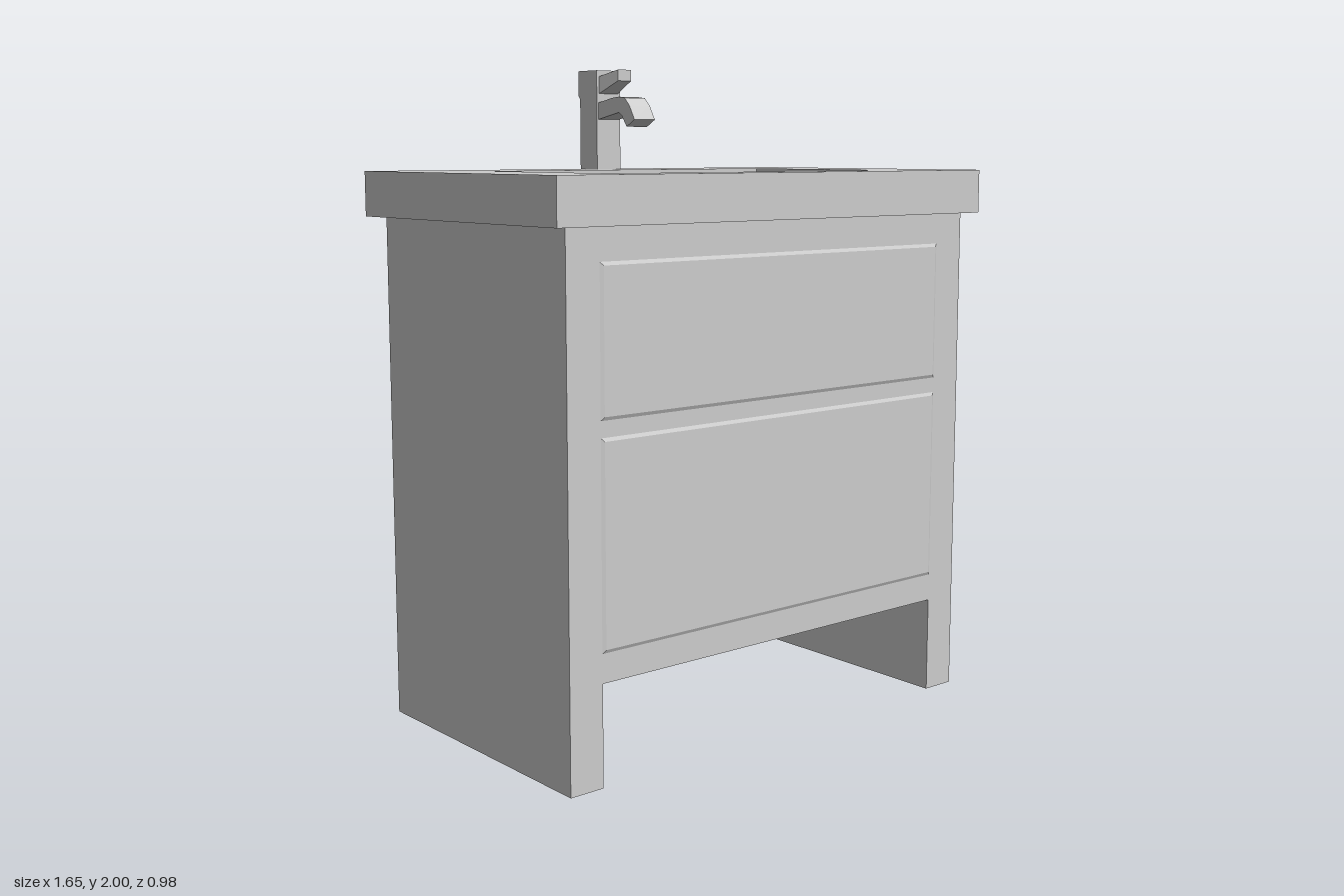
import * as THREE from 'three';

const grey = new THREE.MeshStandardMaterial({ color: 0xcccccc, flatShading: true });

function add(group, name, geometry, x = 0, y = 0, z = 0) {
  const mesh = new THREE.Mesh(geometry, grey);
  mesh.name = name;
  mesh.position.set(x, y, z);
  group.add(mesh);
  return mesh;
}

// Box given by its limits on each axis
function box(group, name, [x0, x1], [y0, y1], [z0, z1]) {
  return add(group, name, new THREE.BoxGeometry(x1 - x0, y1 - y0, z1 - z0),
    (x0 + x1) / 2, (y0 + y1) / 2, (z0 + z1) / 2);
}

const rect = (x0, x1, y0, y1) => [[x0, y0], [x1, y0], [x1, y1], [x0, y1]].map(p => new THREE.Vector2(...p));

// Horizontal rectangular slab with a rectangular opening, rising from y = 0
function ring(outer, inner, height) {
  const shape = new THREE.Shape(rect(...outer));
  shape.holes.push(new THREE.Path(rect(...inner)));
  return new THREE.ExtrudeGeometry(shape, { depth: height, bevelEnabled: false }).rotateX(-Math.PI / 2);
}

// Side profile of [z, y] points, extruded across x and centred
function sideProfile(points, width) {
  const shape = new THREE.Shape(points.map(p => new THREE.Vector2(...p)));
  return new THREE.ExtrudeGeometry(shape, { depth: width, bevelEnabled: false })
    .translate(0, 0, -width / 2).rotateY(-Math.PI / 2);
}

// Shallow raised panel with sloping edges
function drawerPanel(width, height) {
  const edge = 0.01, rise = 0.005;
  const geo = new THREE.BoxGeometry(width, height, rise);
  const p = geo.attributes.position;
  for (let i = 0; i < p.count; i++) {
    if (p.getZ(i) > 0) {
      p.setX(i, p.getX(i) - Math.sign(p.getX(i)) * edge);
      p.setY(i, p.getY(i) - Math.sign(p.getY(i)) * edge);
    }
  }
  geo.computeVertexNormals();
  return geo.translate(0, 0, rise / 2);
}

export function createModel() {
  const model = new THREE.Group();
  model.name = 'vanity';

  // Cabinet: side panels run down to the floor as legs
  const cabinet = new THREE.Group();
  cabinet.name = 'cabinet';
  model.add(cabinet);
  const back = -0.455, front = 0.46, inner = 0.663, top = 1.55, bottom = 0.3;
  box(cabinet, 'leftSide', [inner, 0.775], [0, top], [back, front]);
  box(cabinet, 'rightSide', [-0.775, -inner], [0, top], [back, front]);
  box(cabinet, 'frontPanel', [-inner, inner], [bottom, top], [front - 0.04, front]);
  box(cabinet, 'backPanel', [-inner, inner], [bottom, top], [back, back + 0.04]);
  box(cabinet, 'bottomPanel', [-inner, inner], [bottom, bottom + 0.04], [back + 0.04, front - 0.04]);

  // Drawer fronts
  for (const [name, y0, y1] of [['upperDrawer', 1.03, 1.456], ['lowerDrawer', 0.385, 0.983]]) {
    add(cabinet, name, drawerPanel(1.328, y1 - y0), 0, (y0 + y1) / 2, front);
  }

  // Countertop with a rectangular sunken basin
  const sink = new THREE.Group();
  sink.name = 'sink';
  model.add(sink);
  const opening = [-0.545, 0.542, -0.342, 0.247];
  add(sink, 'countertop', ring([-0.824, 0.824, -0.492, 0.492], opening, 0.135), 0, 1.55, 0);
  add(sink, 'basinWalls', ring([-0.565, 0.562, -0.362, 0.267], opening, 0.04), 0, 1.51, 0);
  box(sink, 'basinFloor', [-0.565, 0.562], [1.5, 1.53], [-0.267, 0.362]);

  // Tap: square post, arched spout and tapered lever
  const tap = new THREE.Group();
  tap.name = 'tap';
  tap.position.x = -0.007;
  model.add(tap);
  add(tap, 'tapPost', sideProfile([
    [-0.447, 1.68], [-0.357, 1.68], [-0.357, 2], [-0.455, 2], [-0.455, 1.92], [-0.447, 1.91],
  ], 0.094));
  add(tap, 'spout', sideProfile([
    [-0.37, 1.842], [-0.25, 1.865], [-0.235, 1.855], [-0.21, 1.82], [-0.17, 1.842],
    [-0.195, 1.885], [-0.22, 1.91], [-0.25, 1.914], [-0.285, 1.911], [-0.37, 1.895],
  ], 0.082));
  const lever = sideProfile([[-0.36, 1.925], [-0.272, 1.965], [-0.272, 2], [-0.36, 1.98]], 0.076);
  const p = lever.attributes.position;
  for (let i = 0; i < p.count; i++) if (p.getZ(i) > -0.3) p.setX(i, p.getX(i) * 0.68);
  lever.computeVertexNormals();
  add(tap, 'lever', lever);

  return model;
}
